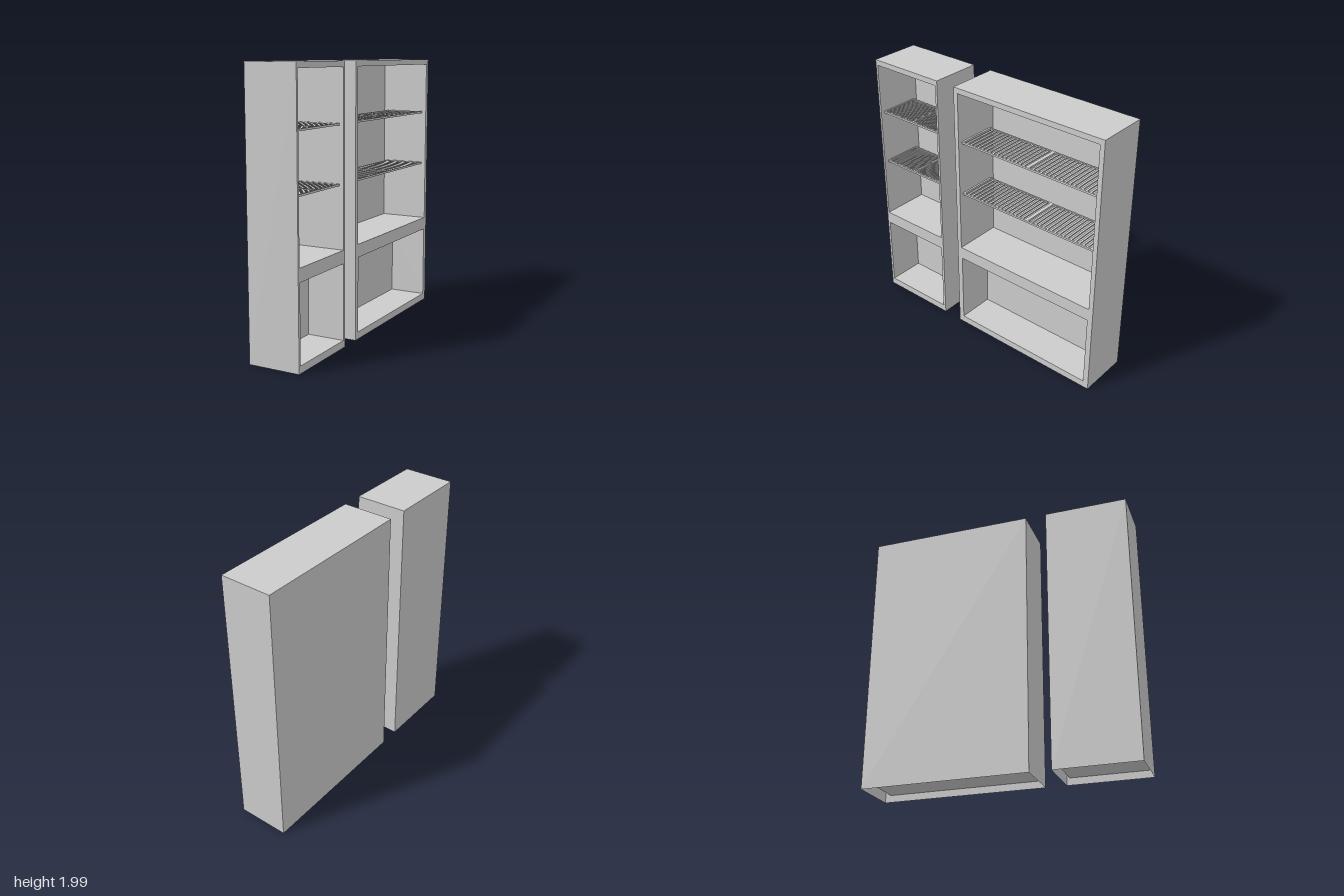
import * as THREE from 'three';

const grey = new THREE.MeshStandardMaterial({ color: 0xcccccc, side: THREE.DoubleSide });
const HEIGHT = 1.99;
const FRONT = 0.193; // plane of the openings; the closed back is at -FRONT

function addMesh(parent, name, geometry, x = 0, y = 0, z = 0) {
  const mesh = new THREE.Mesh(geometry, grey);
  mesh.name = name;
  mesh.position.set(x, y, z);
  parent.add(mesh);
  return mesh;
}

// Thin-walled box with some sides left out (0 = +x, 1 = -x, 2 = +y, 3 = -y, 4 = +z, 5 = -z)
function openBox(w, h, d, openSides) {
  const geometry = new THREE.BoxGeometry(w, h, d);
  const index = Array.from(geometry.index.array);
  geometry.setIndex(index.filter((_, i) => !openSides.includes(Math.floor(i / 6))));
  geometry.clearGroups();
  return geometry;
}

function rectangle(path, halfWidth, bottom, top) {
  path.moveTo(-halfWidth, bottom);
  path.lineTo(halfWidth, bottom);
  path.lineTo(halfWidth, top);
  path.lineTo(-halfWidth, top);
  path.closePath();
  return path;
}

// Wire shelf: two framed racks side by side, with bars running front to back
function makeShelf(width) {
  const shelf = new THREE.Group();
  shelf.name = 'wireShelf';
  const front = 0.16, back = -0.145, depth = front - back, middle = (front + back) / 2;
  const rackWidth = width / 2, rail = 0.012 * width, thickness = 0.015, bars = 16;
  for (const side of [-1, 1]) {
    const rack = new THREE.Group();
    rack.name = side > 0 ? 'leftRack' : 'rightRack';
    rack.position.z = side * rackWidth / 2;
    for (const x of [front - 0.006, back + 0.006]) {
      addMesh(rack, 'longRail', new THREE.BoxGeometry(0.012, thickness, rackWidth), x);
    }
    for (const s of [-1, 1]) {
      addMesh(rack, 'endRail', new THREE.BoxGeometry(depth, thickness, rail), middle, 0, s * (rackWidth - rail) / 2);
    }
    for (let i = 1; i <= bars; i++) {
      const z = (i / (bars + 1) - 0.5) * (rackWidth - rail);
      addMesh(rack, 'bar', new THREE.BoxGeometry(depth - 0.012, 0.009, 0.013 * width), middle, 0, z);
    }
    shelf.add(rack);
  }
  return shelf;
}

function makeCabinet(name, zMin, zMax) {
  const cabinet = new THREE.Group();
  cabinet.name = name;
  cabinet.position.z = (zMin + zMax) / 2;
  const width = zMax - zMin;

  // Outer shell, open at the face and underneath
  addMesh(cabinet, 'shell', openBox(2 * FRONT, HEIGHT, width, [0, 3]), 0, HEIGHT / 2);

  // Recesses: the lower one is shallower than the upper one
  const recesses = [
    { name: 'upperCompartment', bottom: 0.7, top: 1.95, width: width * 0.943, depth: 0.37 },
    { name: 'lowerCompartment', bottom: 0.053, top: 0.605, width: width * 0.932, depth: 0.285 },
  ];
  const face = rectangle(new THREE.Shape(), width / 2, 0, HEIGHT);
  for (const r of recesses) {
    face.holes.push(rectangle(new THREE.Path(), r.width / 2, r.bottom, r.top));
    addMesh(cabinet, r.name, openBox(r.depth, r.top - r.bottom, r.width, [0]),
      FRONT - r.depth / 2, (r.bottom + r.top) / 2);
  }
  addMesh(cabinet, 'faceFrame', new THREE.ShapeGeometry(face).rotateY(Math.PI / 2), FRONT);

  // Two wire shelves in the upper compartment
  for (const y of [1.153, 1.567]) {
    const shelf = makeShelf(recesses[0].width);
    shelf.position.y = y;
    cabinet.add(shelf);
  }
  return cabinet;
}

export function createModel() {
  const model = new THREE.Group();
  model.name = 'shelfCabinets';
  model.add(makeCabinet('wideCabinet', -1, 0.235));
  model.add(makeCabinet('narrowCabinet', 0.39, 1));
  return model;
}
